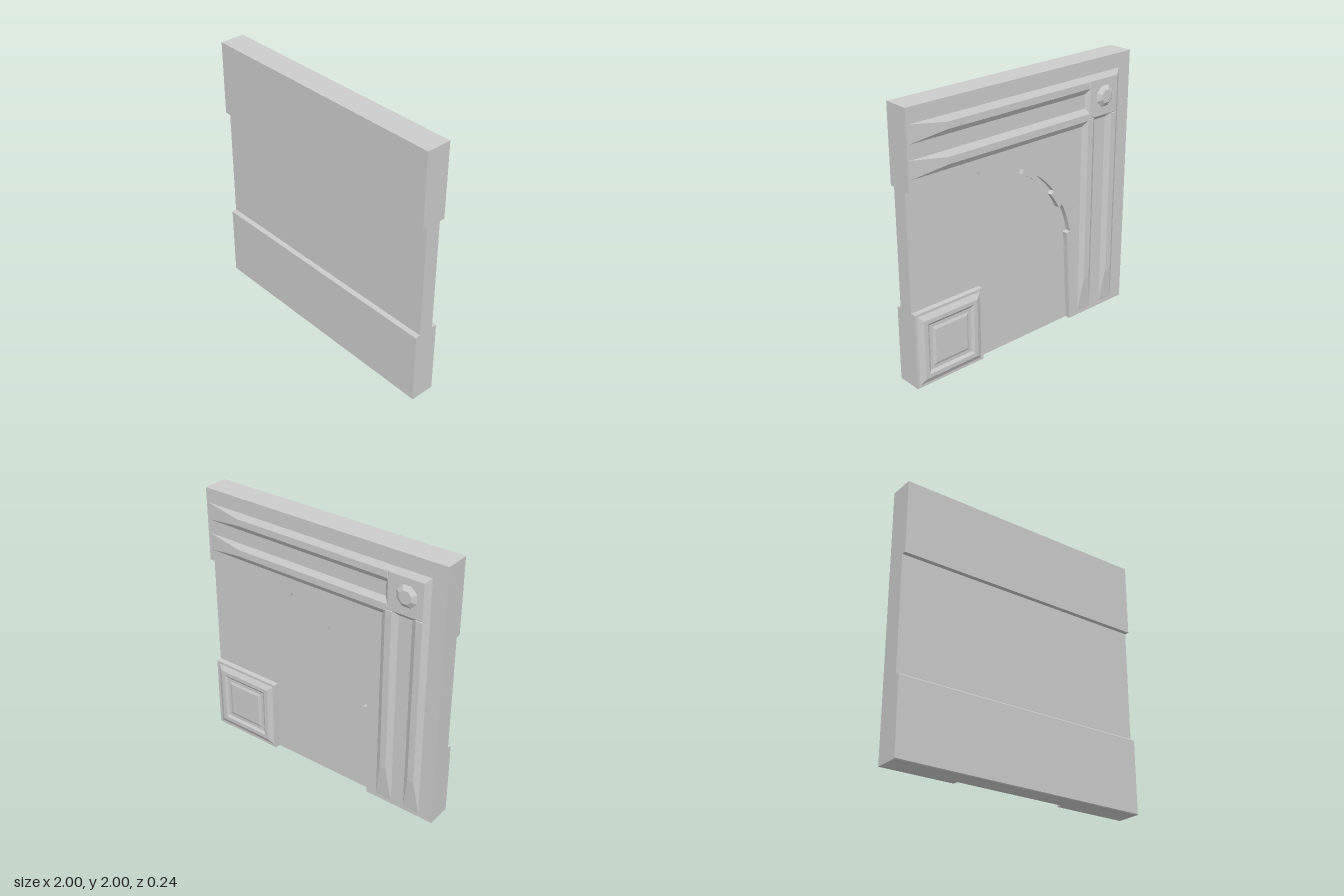
import * as THREE from 'three';

const FRONT = 0.115, BAND = 0.08, RECESS = -0.035, BACK = -0.075, RAISED = -0.1;
const material = new THREE.MeshStandardMaterial({ color: 0xcccccc });
const flat = new THREE.MeshStandardMaterial({ color: 0xcccccc, flatShading: true });

// Stack of rectangles [x0, x1, y0, y1, z] rising towards -z, closed by a cap
function raisedPanel(name, rings) {
  const pos = [];
  const loops = rings.map(([x0, x1, y0, y1, z]) => [[x0, y0, z], [x0, y1, z], [x1, y1, z], [x1, y0, z]]);
  const quad = (a, b, c, d) => pos.push(...a, ...b, ...c, ...a, ...c, ...d);
  for (let i = 0; i + 1 < loops.length; i++) {
    for (let k = 0; k < 4; k++) {
      const n = (k + 1) % 4;
      quad(loops[i][k], loops[i][n], loops[i + 1][n], loops[i + 1][k]);
    }
  }
  quad(...loops[loops.length - 1]);
  const geo = new THREE.BufferGeometry();
  geo.setAttribute('position', new THREE.Float32BufferAttribute(pos, 3));
  geo.computeVertexNormals();
  const mesh = new THREE.Mesh(geo, flat);
  mesh.name = name;
  return mesh;
}

function outline(points) {
  return new THREE.Shape(points.map(([x, y]) => new THREE.Vector2(x, y)));
}

// Core slab: side profile (z, y) swept across x, with a shallow band in front
function wallSlab() {
  const profile = outline([
    [RECESS, 0], [FRONT - 0.005, 0], [FRONT, 0.006], [FRONT, 0.558], [FRONT - 0.008, 0.566], [BAND, 0.566],
    [BAND, 1.44], [FRONT, 1.44], [FRONT, 2], [RECESS, 2],
  ]);
  const geo = new THREE.ExtrudeGeometry(profile, { depth: 2, bevelEnabled: false });
  geo.rotateY(-Math.PI / 2); // profile x becomes z, depth becomes -x
  geo.translate(1, 0, 0);
  const mesh = new THREE.Mesh(geo, material);
  mesh.name = 'wallSlab';
  return mesh;
}

// Back layer: jamb, toothed quarter arch and lintel around the recess
function archSurround() {
  const cx = 0.42, cy = 0.575, r = 0.862;
  const pts = [[-1, 0], [cx - r, 0]];
  const at = (deg, radius) => {
    const a = THREE.MathUtils.degToRad(deg);
    pts.push([cx - radius * Math.cos(a), cy + radius * Math.sin(a)]);
  };
  const teeth = [[0, 11], [28, 38], [53, 63], [78, 90]];
  teeth.forEach(([a, b], i) => {
    for (let s = 0; s <= 3; s++) at(a + (b - a) * s / 3, r - 0.035);
    const next = teeth[i + 1];
    if (next) for (let s = 0; s <= 6; s++) at(b + (next[0] - b) * s / 6, r);
  });
  pts.push([cx, 1.438], [1, 1.438], [1, 2], [-1, 2]);
  const geo = new THREE.ExtrudeGeometry(outline(pts), { depth: RECESS - BACK, bevelEnabled: false });
  geo.translate(0, 0, BACK);
  const mesh = new THREE.Mesh(geo, material);
  mesh.name = 'archSurround';
  return mesh;
}

export function createModel() {
  const model = new THREE.Group();
  model.name = 'archedWallPanel';
  model.add(wallSlab(), archSurround());

  // Paired ribs along the lintel and down the jamb, fading out at the far ends
  for (const [label, o] of [['outer', 0.175], ['inner', 0.41]]) {
    const w = 0.065, t = 0.025, start = 0.41;
    model.add(raisedPanel(label + 'LintelRib', [
      [start - 1, 0.985, 2 - o - w, 2 - o + w, BACK],
      [start - 0.98, 0.7, 2 - o - t, 2 - o + t, RAISED],
    ]));
    model.add(raisedPanel(label + 'JambRib', [
      [o - 1 - w, o - 1 + w, 0.03, 2 - start, BACK],
      [o - 1 - t, o - 1 + t, 0.3, 1.98 - start, RAISED],
    ]));
  }

  // Square corner block with a bevelled boss
  model.add(raisedPanel('cornerBlock', [
    [-0.89, -0.55, 1.55, 1.89, BACK],
    [-0.85, -0.58, 1.58, 1.85, RAISED],
  ]));
  const bossGeo = new THREE.CylinderGeometry(0.05, 0.085, 0.024, 8);
  bossGeo.rotateY(Math.PI / 8);
  bossGeo.rotateX(-Math.PI / 2);
  const boss = new THREE.Mesh(bossGeo, flat);
  boss.name = 'cornerBoss';
  boss.position.set(-0.725, 1.72, RAISED - 0.011);
  model.add(boss);

  // Plinth beside the arch, with a framed panel
  const plinth = new THREE.Mesh(new THREE.BoxGeometry(0.58, 0.57, RECESS - BACK), material);
  plinth.name = 'plinth';
  plinth.position.set(0.71, 0.285, (RECESS + BACK) / 2);
  model.add(plinth);
  const inset = (d, z) => [0.42 + d, 1 - d, d, 0.57 - d, z];
  model.add(raisedPanel('plinthPanel', [
    inset(0.02, BACK), inset(0.06, -0.095), inset(0.09, -0.095),
    inset(0.11, -0.082), inset(0.135, -0.082), inset(0.155, -0.09),
  ]));
  return model;
}
